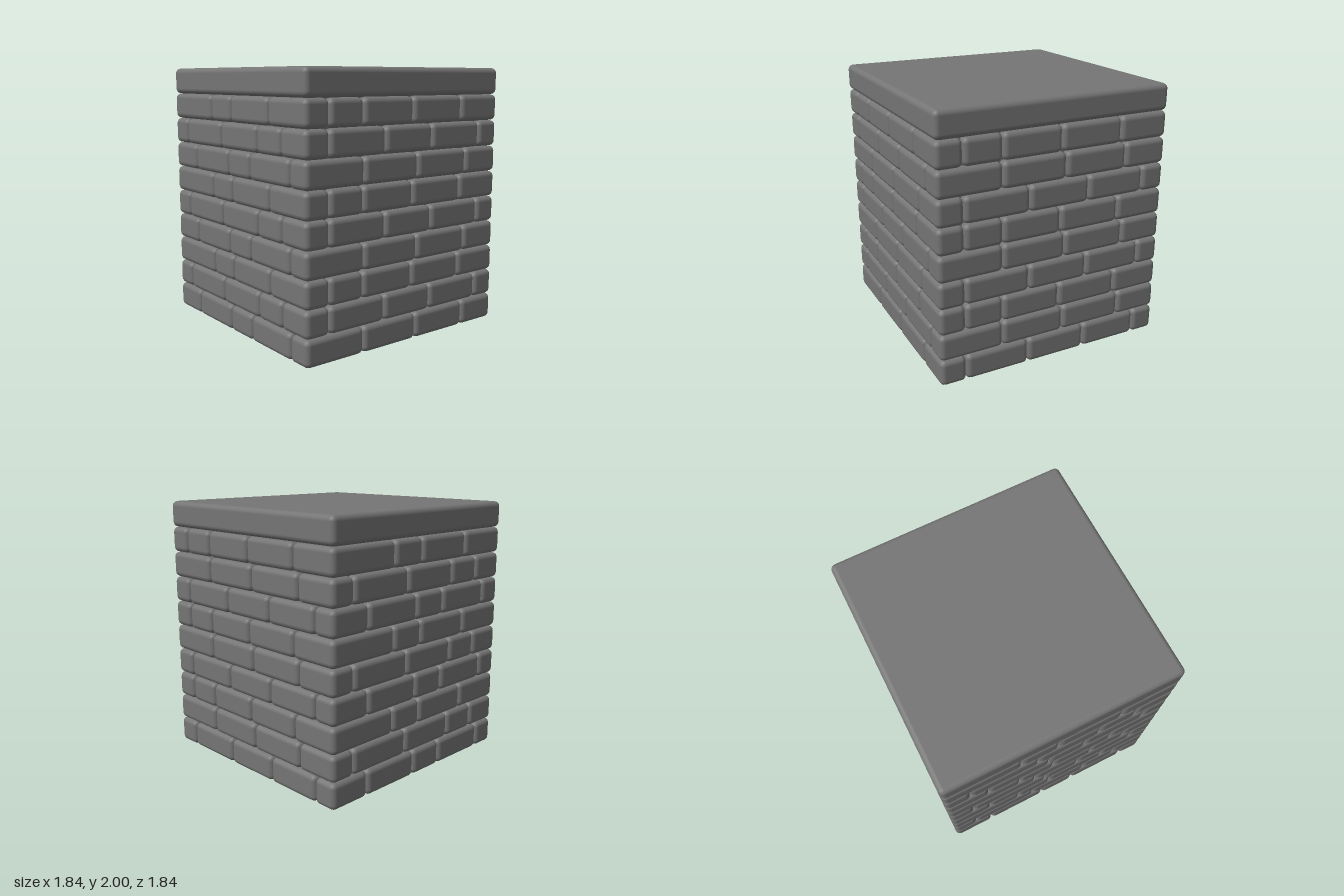
import * as THREE from 'three';
import { RoundedBoxGeometry } from 'three/addons/geometries/RoundedBoxGeometry.js';

const HALF = 0.92;   // half width of the block
const ROW = 0.2;     // height of one course
const DEPTH = 0.1;   // thickness of the brick shell
const ROUND = 0.04;

// Inner joints of the three repeating courses, along x (front, back) or z (sides)
const JOINTS = {
  front: [[-0.58, -0.08, 0.22, 0.72], [-0.72, -0.18, 0.32, 0.62], [-0.32, -0.03, 0.47]],
  left: [[-0.58, -0.08, 0.42], [-0.72, -0.22, 0.23, 0.72], [-0.52, -0.03, 0.43, 0.72]],
  back: [[-0.73, -0.26, 0.22, 0.72], [-0.57, -0.07, 0.43], [-0.52, -0.03, 0.43, 0.72]],
  right: [[-0.58, -0.08, 0.22, 0.72], [-0.72, -0.18, 0.32, 0.62], [-0.32, -0.03, 0.47]],
};

export function createModel() {
  const model = new THREE.Group();
  const stone = new THREE.MeshStandardMaterial({ color: 0x757575 });
  const lining = new THREE.MeshStandardMaterial({ color: 0x757575, side: THREE.DoubleSide });

  // One face of brickwork; end bricks overlap the next face to form corners
  function brickFace(name, alongX, sign) {
    const face = new THREE.Group();
    face.name = name + 'BrickFace';
    const offset = sign * (HALF - DEPTH / 2);
    for (let row = 0; row < 9; row++) {
      const edges = [-HALF, ...JOINTS[name][row % 3], HALF];
      for (let i = 0; i < edges.length - 1; i++) {
        const length = edges[i + 1] - edges[i];
        const mid = (edges[i] + edges[i + 1]) / 2;
        const height = ROW - 0.002;
        const brick = new THREE.Mesh(alongX
          ? new RoundedBoxGeometry(length, height, DEPTH, 2, ROUND)
          : new RoundedBoxGeometry(DEPTH, height, length, 2, ROUND), stone);
        brick.name = 'brick';
        brick.position.set(alongX ? mid : offset, (row + 0.5) * ROW, alongX ? offset : mid);
        face.add(brick);
      }
    }
    model.add(face);
  }
  brickFace('front', true, 1);
  brickFace('back', true, -1);
  brickFace('left', false, 1);
  brickFace('right', false, -1);

  // Flat inner walls of the hollow, open at the bottom
  const inner = HALF - DEPTH - 0.005;
  for (let i = 0; i < 4; i++) {
    const wall = new THREE.Mesh(new THREE.PlaneGeometry(inner * 2, 1.8), lining);
    wall.name = 'innerWall';
    wall.rotation.y = i * Math.PI / 2;
    wall.position.set(Math.sin(wall.rotation.y) * inner, 0.91, Math.cos(wall.rotation.y) * inner);
    model.add(wall);
  }

  // Solid slab on top
  const cap = new THREE.Mesh(new RoundedBoxGeometry(HALF * 2, ROW, HALF * 2, 3, ROUND), stone);
  cap.name = 'capSlab';
  cap.position.y = 1.9;
  model.add(cap);

  return model;
}
